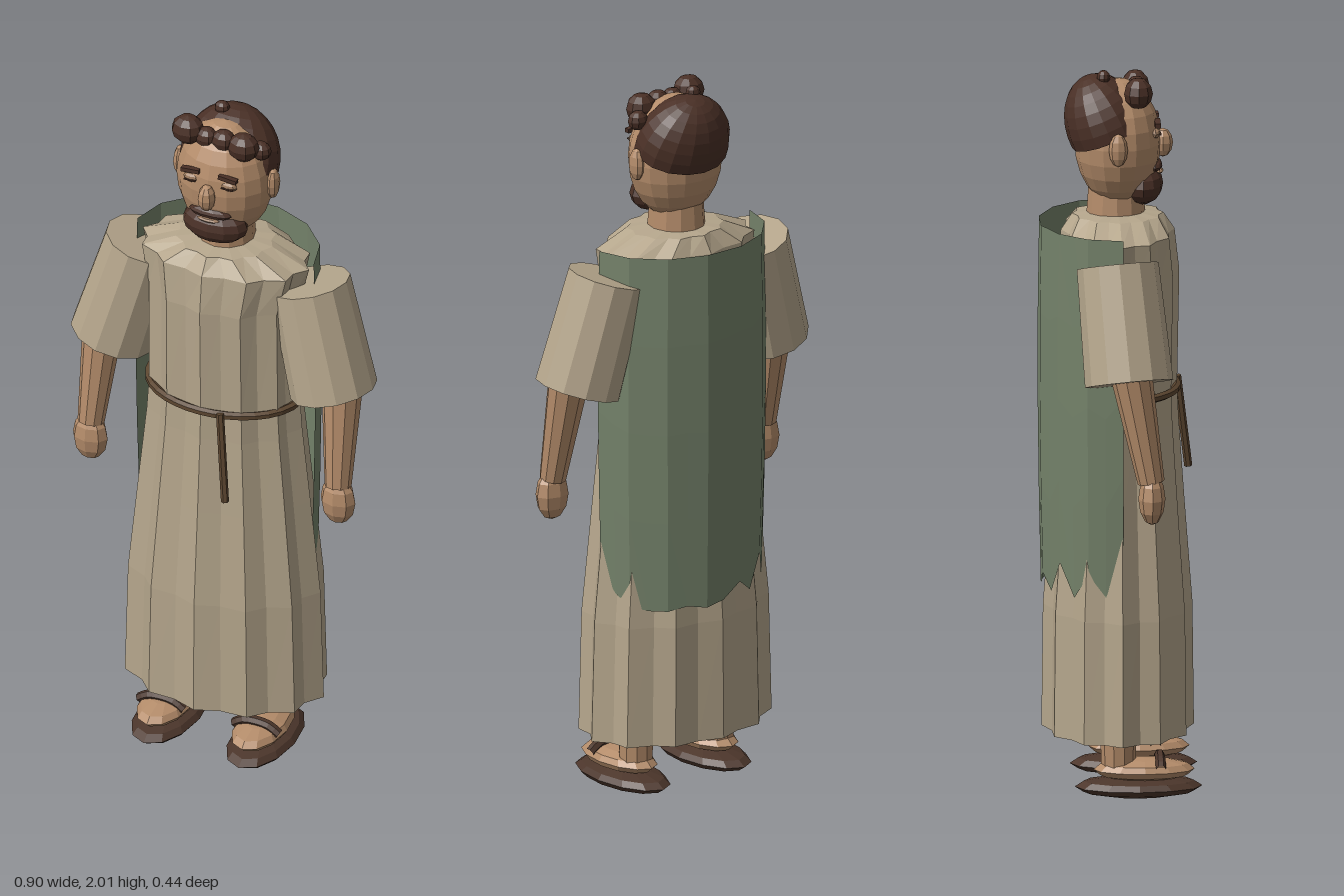
import * as THREE from 'three';

const mat = (color, side = THREE.FrontSide) =>
  new THREE.MeshStandardMaterial({ color, side, flatShading: true });
const CLOTH = mat(0xb5a68c), CAPE = mat(0x74826a, THREE.DoubleSide), SKIN = mat(0xb48c6a),
  HAIR = mat(0x4a3026), ROPE = mat(0x5c4630), LEATHER = mat(0x4c362b), LID = mat(0x9c7a5e);

function add(parent, name, geometry, material, x = 0, y = 0, z = 0) {
  const mesh = new THREE.Mesh(geometry, material);
  mesh.name = name;
  mesh.position.set(x, y, z);
  parent.add(mesh);
  return mesh;
}

// Faceted ellipsoid
function blob(parent, name, material, [x, y, z], [rx, ry, rz], w = 12, h = 8) {
  return add(parent, name, new THREE.SphereGeometry(1, w, h).scale(rx, ry, rz), material, x, y, z);
}

// Tapered cylinder running from point a to point b
function limb(parent, name, material, a, b, ra, rb, sides = 12) {
  const A = new THREE.Vector3(...a), B = new THREE.Vector3(...b), d = B.clone().sub(A);
  const mesh = add(parent, name, new THREE.CylinderGeometry(rb, ra, d.length(), sides), material);
  mesh.position.copy(A).addScaledVector(d, 0.5);
  mesh.quaternion.setFromUnitVectors(new THREE.Vector3(0, 1, 0), d.normalize());
  return mesh;
}

// Surface through a grid of points: rows go up, columns go round
function grid(rows, cols, point) {
  const pos = [], idx = [];
  for (let i = 0; i < rows; i++) for (let j = 0; j < cols; j++) pos.push(...point(i, j));
  for (let i = 0; i < rows - 1; i++) for (let j = 0; j < cols - 1; j++) {
    const a = i * cols + j, d = a + cols;
    idx.push(a, a + 1, d + 1, a, d + 1, d);
  }
  const g = new THREE.BufferGeometry();
  g.setAttribute('position', new THREE.Float32BufferAttribute(pos, 3));
  g.setIndex(idx);
  g.computeVertexNormals();
  return g;
}

// Pleated robe: [height, half width, half depth]
function robe(parent) {
  const rings = [[0.17, 0.001, 0.001], [0.17, 0.295, 0.208], [0.51, 0.285, 0.204], [0.8, 0.255, 0.182],
    [1.03, 0.23, 0.166], [1.12, 0.224, 0.162], [1.44, 0.222, 0.168], [1.555, 0.25, 0.155],
    [1.6, 0.14, 0.125], [1.61, 0.05, 0.05]];
  const geo = grid(rings.length, 25, (i, j) => {
    const [y, rx, rz] = rings[i], a = j / 24 * Math.PI * 2, f = j % 2 ? 0.91 : 1;
    return [Math.sin(a) * rx * f, y, Math.cos(a) * rz * f];
  });
  add(parent, 'robe', geo, CLOTH);
}

// Open cape round the back with a ragged hem
function cape(parent) {
  const hem = [0.66, 0.6, 0.57, 0.56, 0.56, 0.57, 0.56, 0.57, 0.61, 0.57, 0.66, 0.57, 0.64, 0.58, 0.7];
  const n = hem.length - 1, levels = 5;
  const geo = grid(levels, n + 1, (i, j) => {
    const t = i / (levels - 1), a = (j / n - 0.5) * Math.PI;
    const r = (j % 2 ? 0.975 : 1) * (0.97 + 0.04 * Math.sin(t * 2.6));
    return [-Math.sin(a) * 0.268 * r, hem[n - j] + (1.58 - hem[n - j]) * t, 0.003 - Math.cos(a) * 0.222 * r];
  });
  // columns run from left to right seen from the front
  geo.scale(-1, 1, 1);
  geo.setIndex([...geo.index.array].reverse());
  add(parent, 'cape', geo, CAPE);
}

function head(parent) {
  const g = new THREE.Group();
  g.name = 'head';
  parent.add(g);
  limb(g, 'neck', SKIN, [0, 1.56, -0.005], [0, 1.69, -0.005], 0.083, 0.074);
  blob(g, 'skull', SKIN, [0, 1.8, 0], [0.138, 0.175, 0.118], 16, 12);
  blob(g, 'nose', SKIN, [0, 1.795, 0.123], [0.025, 0.04, 0.028], 8, 6);
  blob(g, 'beard', HAIR, [0, 1.683, 0.066], [0.096, 0.057, 0.058], 12, 8);
  blob(g, 'moustache', HAIR, [0, 1.735, 0.1], [0.064, 0.017, 0.022], 10, 6);
  blob(g, 'mouth', LID, [0, 1.718, 0.113], [0.035, 0.007, 0.012], 8, 4);
  for (const s of [-1, 1]) {
    blob(g, 'ear', SKIN, [s * 0.14, 1.805, -0.005], [0.018, 0.046, 0.026], 8, 6);
    blob(g, 'eye', LID, [s * 0.056, 1.834, 0.1], [0.025, 0.014, 0.014], 8, 6);
    add(g, 'eyeSlit', new THREE.BoxGeometry(0.034, 0.004, 0.006), HAIR, s * 0.056, 1.832, 0.113);
    const brow = add(g, 'eyebrow', new THREE.BoxGeometry(0.054, 0.012, 0.016), HAIR, s * 0.056, 1.861, 0.106);
    brow.rotation.z = -s * 0.08;
  }
  // Hair cap, lower at the back
  const capGeo = new THREE.SphereGeometry(1, 16, 8, 0, Math.PI * 2, 0, Math.PI * 0.53).scale(0.142, 0.155, 0.112);
  const cap = add(g, 'hair', capGeo, mat(0x4a3026, THREE.DoubleSide), 0, 1.838, -0.027);
  cap.rotation.x = -0.4;
  // Curls over the forehead and crown: x, y, z, radius
  const curls = [[-0.09, 1.953, 0.052, 0.047], [0.077, 1.94, 0.052, 0.045], [-0.033, 1.942, 0.052, 0.033],
    [0.018, 1.945, 0.052, 0.035], [0.115, 1.92, 0.02, 0.03], [-0.03, 1.985, -0.04, 0.022]];
  for (const [x, y, z, r] of curls) blob(g, 'curl', HAIR, [x, y, z], [r, r * 0.92, r * 0.85], 9, 6);
}

// Sleeve, forearm, hand, ankle, foot and sandal for one side
function limbs(parent, s) {
  const g = new THREE.Group();
  g.name = s > 0 ? 'leftLimbs' : 'rightLimbs';
  parent.add(g);
  limb(g, 'sleeve', CLOTH, [s * 0.332, 1.197, 0.015], [s * 0.248, 1.508, -0.012], 0.121, 0.112, 12);
  limb(g, 'forearm', SKIN, [s * 0.372, 0.93, 0.073], [s * 0.358, 1.27, 0.012], 0.037, 0.06, 10);
  blob(g, 'hand', SKIN, [s * 0.373, 0.884, 0.075], [0.052, 0.073, 0.037], 8, 6);
  limb(g, 'ankle', SKIN, [s * 0.143, 0.07, -0.005], [s * 0.143, 0.3, -0.005], 0.046, 0.054, 10);
  blob(g, 'foot', SKIN, [s * 0.143, 0.077, 0.065], [0.072, 0.032, 0.138], 12, 6);
  blob(g, 'sole', LEATHER, [s * 0.143, 0.03, 0.05], [0.088, 0.03, 0.174], 12, 6);
  const strap = new THREE.CatmullRomCurve3([[-0.068, 0.09], [-0.035, 0.11], [0.035, 0.11], [0.068, 0.09]]
    .map(([x, y]) => new THREE.Vector3(s * 0.143 + x, y, 0.108)));
  add(g, 'strap', new THREE.TubeGeometry(strap, 8, 0.014, 6), LEATHER);
}

export function createModel() {
  const model = new THREE.Group();
  model.name = 'robedFigure';
  robe(model);
  cape(model);
  head(model);
  for (const s of [-1, 1]) limbs(model, s);
  // Rope belt and its hanging end
  const loop = Array.from({ length: 24 }, (_, i) => i / 24 * Math.PI * 2)
    .map((a) => new THREE.Vector3(Math.sin(a) * 0.22, 1.12, Math.cos(a) * 0.161));
  add(model, 'belt', new THREE.TubeGeometry(new THREE.CatmullRomCurve3(loop, true), 32, 0.012, 6, true), ROPE);
  limb(model, 'beltEnd', ROPE, [0.09, 0.87, 0.197], [0.06, 1.13, 0.165], 0.011, 0.011, 6);
  return model;
}
